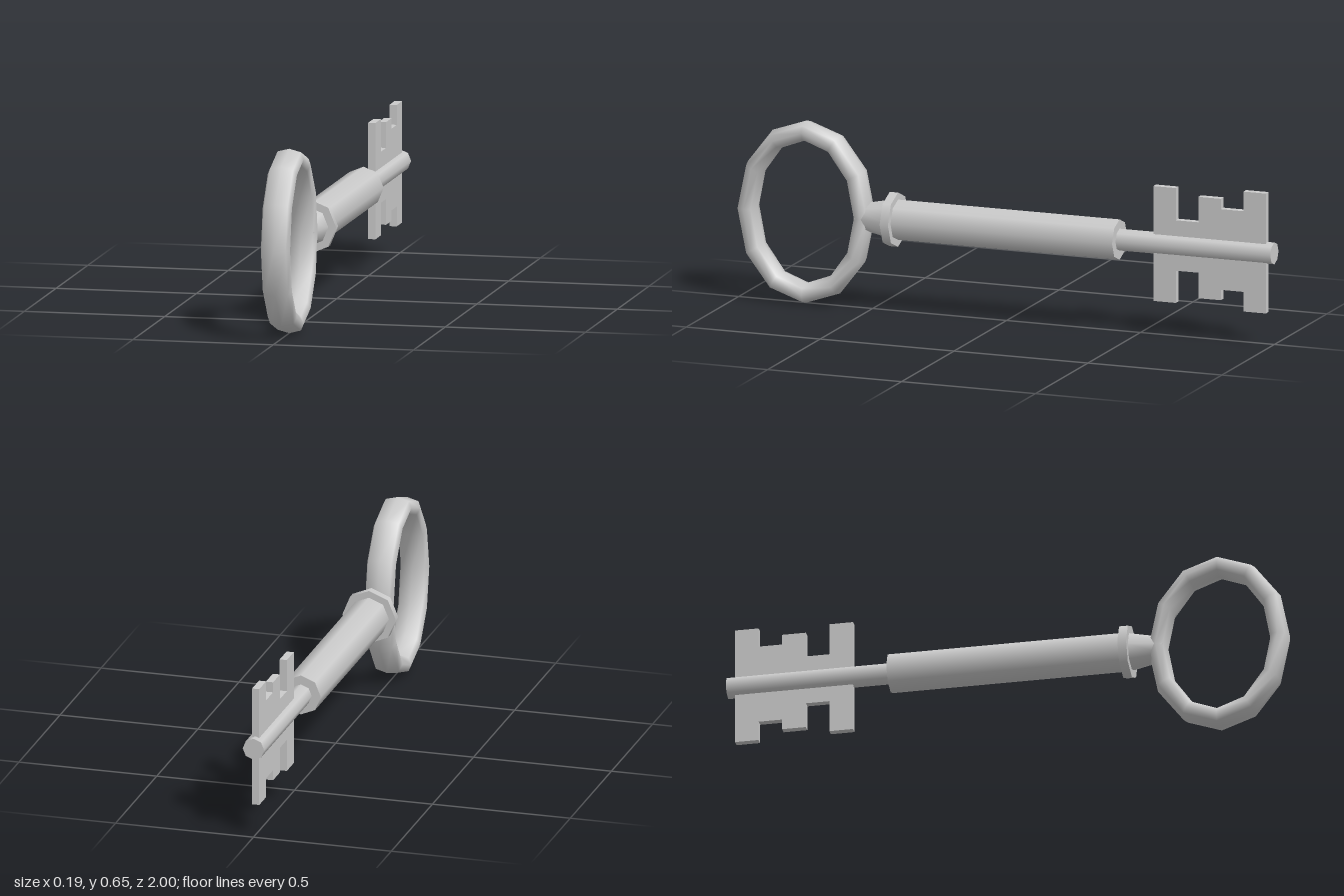
import * as THREE from 'three';

const AXIS_Y = 0.327;
const material = new THREE.MeshStandardMaterial({ color: 0xcccccc });

function addPart(group, name, geometry) {
  const mesh = new THREE.Mesh(geometry, material);
  mesh.name = name;
  group.add(mesh);
}

// Eight-sided bar along z, from zBack to zFront
function rod(rBack, rFront, zBack, zFront) {
  const geo = new THREE.CylinderGeometry(rFront, rBack, zFront - zBack, 8);
  geo.rotateX(Math.PI / 2);
  geo.translate(0, AXIS_Y, (zBack + zFront) / 2);
  return geo;
}

// Oval ring in the yz plane, with a wide, slightly squared cross-section
function bowGeometry() {
  const around = 12;
  const section = [[0, 1], [0.8, 0.69], [1, 0], [0.8, -0.69], [0, -1], [-0.8, -0.69], [-1, 0], [-0.8, 0.69]];
  const sides = section.length;
  const positions = [], index = [];
  for (let i = 0; i < around; i++) {
    const a = (i / around) * Math.PI * 2;
    for (const [sx, sr] of section) {
      positions.push(
        sx * 0.052,
        AXIS_Y + Math.sin(a) * (0.29 + sr * 0.035),
        0.747 + Math.cos(a) * (0.217 + sr * 0.035)
      );
    }
    const next = (i + 1) % around;
    for (let j = 0; j < sides; j++) {
      const k = (j + 1) % sides;
      const p = i * sides + j, q = i * sides + k;
      const r = next * sides + k, s = next * sides + j;
      index.push(p, q, r, p, r, s);
    }
  }
  const geo = new THREE.BufferGeometry();
  geo.setAttribute('position', new THREE.Float32BufferAttribute(positions, 3));
  geo.setIndex(index);
  geo.computeVertexNormals();
  return geo;
}

// Flat toothed plate, mirrored above and below the shaft
function bitGeometry() {
  const start = 0.553, step = 0.084, thickness = 0.026;
  const heights = [0.205, 0.09, 0.181, 0.144, 0.214];
  const upper = [];
  heights.forEach((h, i) => {
    upper.push([start + i * step, h], [start + (i + 1) * step, h]);
  });
  const lower = upper.map(([u, h]) => [u, -h]).reverse();
  const shape = new THREE.Shape([...upper, ...lower].map(([u, h]) => new THREE.Vector2(u, h)));
  const geo = new THREE.ExtrudeGeometry(shape, { depth: thickness, bevelEnabled: false });
  geo.translate(0, 0, -thickness / 2);
  geo.rotateY(Math.PI / 2); // the outline now runs towards -z
  geo.translate(0, AXIS_Y, 0);
  return geo;
}

export function createModel() {
  const key = new THREE.Group();
  key.name = 'key';
  addPart(key, 'bow', bowGeometry());
  addPart(key, 'neck', rod(0.07, 0.044, 0.43, 0.553));
  addPart(key, 'collar', rod(0.097, 0.097, 0.405, 0.436));
  addPart(key, 'shaft', rod(0.072, 0.072, -0.422, 0.41));
  addPart(key, 'tip', rod(0.039, 0.039, -1, -0.41));
  addPart(key, 'bit', bitGeometry());
  return key;
}
